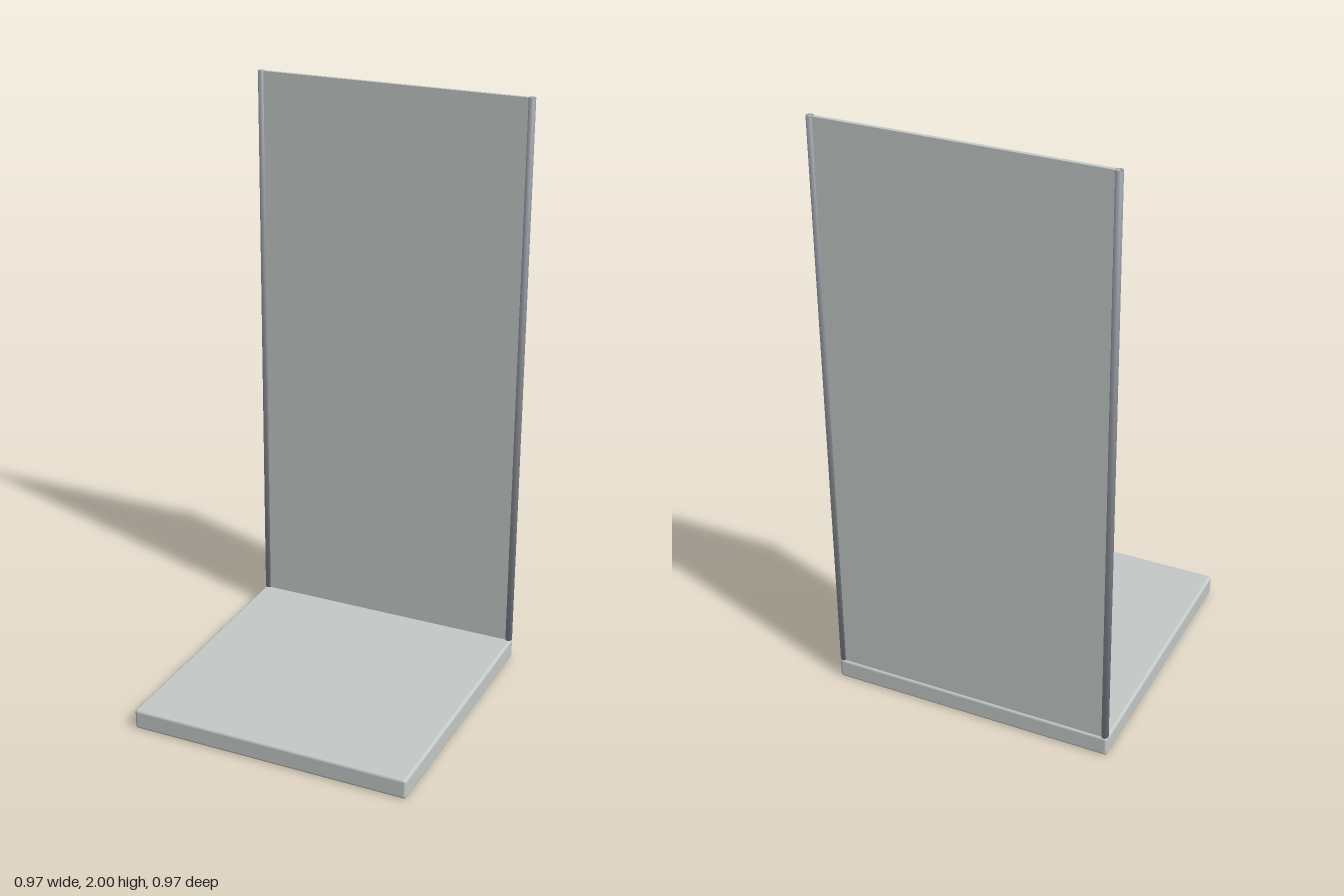
import * as THREE from 'three';
import { RoundedBoxGeometry } from 'three/addons/geometries/RoundedBoxGeometry.js';

const BASE_TOP = 0.07, TOP = 2, HALF = 0.485, BACK_Z = -0.474;

export function createModel() {
  const group = new THREE.Group();
  const paleGrey = new THREE.MeshStandardMaterial({ color: 0xc4cac7 });
  paleGrey.name = 'pale grey';
  const steel = new THREE.MeshStandardMaterial({ color: 0x8f949c });
  steel.name = 'steel';

  const add = (name, geometry, material, x, y, z) => {
    const mesh = new THREE.Mesh(geometry, material);
    mesh.name = name;
    mesh.position.set(x, y, z);
    group.add(mesh);
    return mesh;
  };

  // Square base slab with softened edges
  add('base', new RoundedBoxGeometry(HALF * 2, BASE_TOP, HALF * 2, 3, 0.01), paleGrey, 0, BASE_TOP / 2, 0);

  // Thin upright back panel between the posts
  const height = TOP - BASE_TOP, midY = BASE_TOP + height / 2;
  add('backPanel', new THREE.BoxGeometry(0.95, height, 0.013), paleGrey, 0, midY, BACK_Z);

  // Slim round posts, their smooth normals blending softly into the end caps
  const postGeometry = new THREE.CylinderGeometry(0.012, 0.012, height, 16);
  const { position, normal } = postGeometry.attributes;
  const n = new THREE.Vector3();
  for (let i = 0; i < normal.count; i++) {
    n.fromBufferAttribute(normal, i);
    if (Math.abs(n.y) > 0.5) continue;
    n.y = 0.6 * Math.sign(position.getY(i));
    n.normalize();
    normal.setXYZ(i, n.x, n.y, n.z);
  }
  add('leftPost', postGeometry, steel, HALF - 0.012, midY, BACK_Z);
  add('rightPost', postGeometry, steel, -HALF + 0.012, midY, BACK_Z);

  return group;
}
